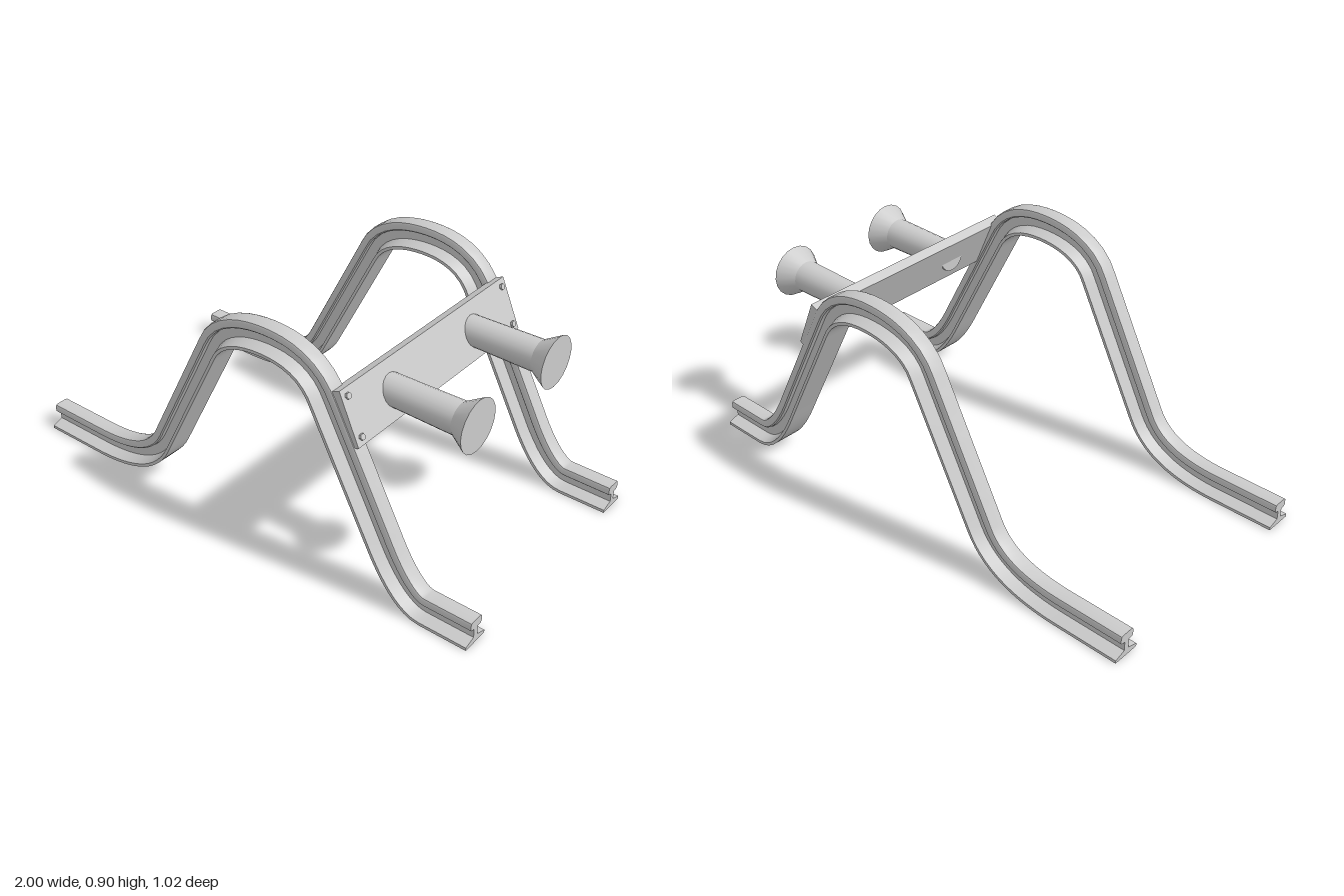
import * as THREE from 'three';
import { toCreasedNormals } from 'three/addons/utils/BufferGeometryUtils.js';

const V = (x, y) => new THREE.Vector2(x, y);

// Path of the rail's underside, seen from the side
function railPath() {
  const path = new THREE.Path();
  path.moveTo(-1, 0);
  path.lineTo(-0.74, 0);
  path.quadraticCurveTo(-0.435, 0, -0.34, 0.185);
  path.lineTo(-0.07, 0.71);
  path.bezierCurveTo(-0.03, 0.775, 0.06, 0.795, 0.14, 0.795);
  path.bezierCurveTo(0.22, 0.795, 0.295, 0.775, 0.335, 0.7);
  path.lineTo(0.58, 0.23);
  path.quadraticCurveTo(0.695, 0, 0.81, 0);
  path.lineTo(1, 0);
  return path;
}

// Rail section: flat foot, thin web, rounded head
function railSection() {
  const half = [
    [0.055, 0], [0.055, 0.012], [0.011, 0.027], [0.011, 0.064], [0.027, 0.066],
    [0.032, 0.071], [0.032, 0.091], [0.029, 0.098], [0.022, 0.101],
  ];
  const left = half.map(([x, y]) => [-x, y]).reverse();
  return new THREE.Shape([...half, ...left].map(([x, y]) => V(x, y)));
}

// Straight extrusion bent along the path
function railGeometry() {
  const path = railPath();
  const geo = new THREE.ExtrudeGeometry(railSection(), { depth: 1, steps: 90, bevelEnabled: false });
  const pos = geo.attributes.position;
  for (let i = 0; i < pos.count; i++) {
    const t = Math.min(1, Math.max(0, pos.getZ(i)));
    const p = path.getPointAt(t);
    const d = path.getTangentAt(t);
    const h = pos.getY(i);
    pos.setXYZ(i, p.x - d.y * h, p.y + d.x * h, -pos.getX(i));
  }
  geo.deleteAttribute('uv');
  return toCreasedNormals(geo, 0.5);
}

export function createModel() {
  const model = new THREE.Group();
  model.name = 'bufferStop';
  const grey = new THREE.MeshStandardMaterial({ color: 0xcccccc });
  const add = (parent, geo, name, x = 0, y = 0, z = 0) => {
    const mesh = new THREE.Mesh(geo, grey);
    mesh.name = name;
    mesh.position.set(x, y, z);
    parent.add(mesh);
    return mesh;
  };

  // Bent rails
  const rail = railGeometry();
  add(model, rail, 'leftRail', 0, 0.004, 0.457);
  add(model, rail, 'rightRail', 0, 0.004, -0.457);

  // Cross beam leaning on the rails, with a hexagonal bolt at each corner
  const beam = new THREE.Group();
  beam.name = 'crossBeam';
  beam.position.set(0.467, 0.674, 0);
  beam.rotation.z = 0.41;
  model.add(beam);
  add(beam, new THREE.BoxGeometry(0.04, 0.206, 0.966), 'beamPlate');
  const bolt = toCreasedNormals(new THREE.CylinderGeometry(0.012, 0.012, 0.01, 6).rotateZ(-Math.PI / 2), 0.5);
  for (const y of [-0.074, 0.074])
    for (const z of [-0.455, 0.455]) add(beam, bolt, 'bolt', 0.024, y, z);

  // Buffers: round shank flaring to a flat face
  const profile = [V(0, 0.45), V(0.056, 0.45), V(0.061, 0.755), V(0.101, 0.822), V(0, 0.822)];
  const buffer = toCreasedNormals(new THREE.LatheGeometry(profile, 20).rotateZ(-Math.PI / 2), 0.5);
  add(model, buffer, 'leftBuffer', 0, 0.676, 0.242);
  add(model, buffer, 'rightBuffer', 0, 0.676, -0.242);

  return model;
}
